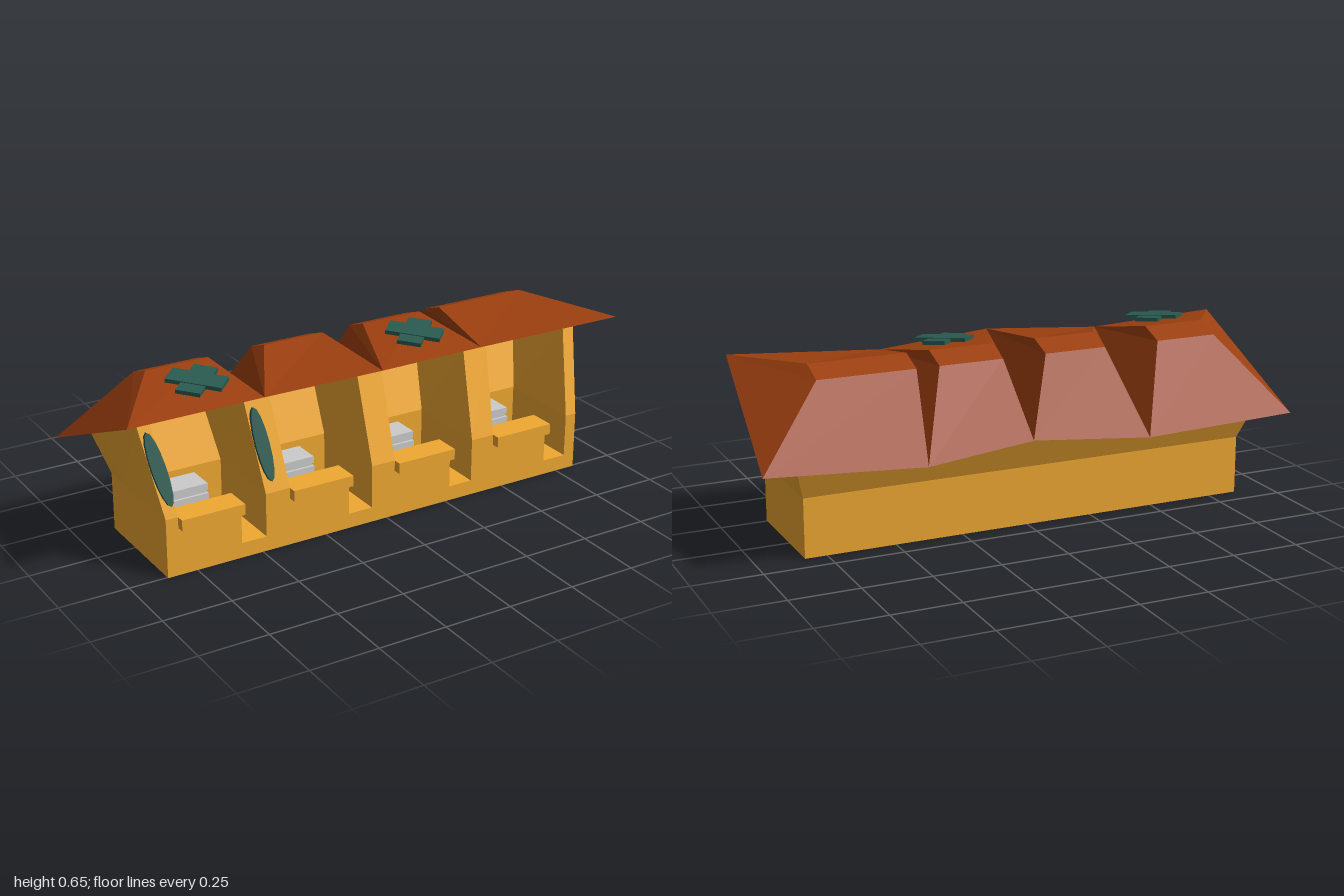
import * as THREE from 'three';

const mat = (color) => new THREE.MeshStandardMaterial({ color, flatShading: true, side: THREE.DoubleSide });

export function createModel() {
  const root = new THREE.Group();
  const wood = mat(0xf0a832), tile = mat(0x9c3f0f), green = mat(0x2a5a50), grey = mat(0xcccccc);

  const add = (name, geo, material, parent = root) => {
    const m = new THREE.Mesh(geo, material);
    m.name = name;
    parent.add(m);
    return m;
  };
  // Upright box between two corners
  const box = (name, x0, x1, y0, y1, z0, z1, material = wood) => {
    const g = new THREE.BoxGeometry(x1 - x0, y1 - y0, z1 - z0);
    g.translate((x0 + x1) / 2, (y0 + y1) / 2, (z0 + z1) / 2);
    return add(name, g, material);
  };

  // Footprint, sill height and eave plane
  const L = -0.86, R = 0.83, F = 0.255, B = -0.17, SILL = 0.215, FLOOR = 0.055, INNER = -0.074;
  const MID = (L + R) / 2;
  const eaveY = (z) => 0.605 + 0.43 * (z - 0.335);

  // Upper wall block: flares sideways, leans back and is cut by the sloping eave plane
  const upper = (name, x0, x1, z0, z1) => {
    const g = new THREE.BoxGeometry(x1 - x0, 1, z1 - z0);
    g.translate((x0 + x1) / 2, 0.5, (z0 + z1) / 2);
    const p = g.attributes.position;
    for (let i = 0; i < p.count; i++) {
      const t = p.getY(i), s = (p.getZ(i) - B) / (F - B);
      if (t < 0.5) { p.setY(i, SILL); continue; }
      const z = -0.233 + 0.39 * s;
      p.setXYZ(i, MID + (p.getX(i) - MID) * 1.053, eaveY(z), z);
    }
    g.computeVertexNormals();
    return add(name, g, wood);
  };

  // Floor and back wall
  box('floor', L, R, 0, FLOOR, B, F);
  box('backWallLower', L, R, FLOOR, SILL, B, INNER);
  upper('backWallUpper', L, R, B, INNER);

  // Four stalls, with a dividing wall before each and one at the end
  const N = 4, PITCH = 0.4235, OPEN = 0.33, FIRST = -0.815;
  for (let i = 0; i <= N; i++) {
    const x0 = i === 0 ? L : FIRST + PITCH * (i - 1) + OPEN;
    const x1 = i === N ? R : FIRST + PITCH * i;
    box('dividerLower', x0, x1, FLOOR, SILL, INNER, F);
    upper('dividerUpper', x0, x1, INNER, F);
  }
  for (let i = 0; i < N; i++) {
    const x = FIRST + PITCH * i;
    box('stallFront', x, x + 0.235, FLOOR, 0.175, 0.195, F);
    box('counter', x, x + 0.235, 0.175, SILL, 0.185, 0.285);
    // Stove against the back wall: body, hob slab and raised back
    box('stoveBody', x + 0.03, x + 0.225, FLOOR, 0.155, INNER, 0.035, grey);
    box('stoveGap', x + 0.035, x + 0.22, 0.155, 0.165, INNER, 0.025, grey);
    box('stoveTop', x + 0.03, x + 0.225, 0.165, 0.19, INNER, 0.03, grey);
  }

  // Roof: four hipped sections sharing valleys; [front x, front z, back x, back z]
  const valleys = [
    [-1, 0.3, -1, -0.31], [-0.49, 0.27, -0.4, -0.335], [-0.065, 0.325, 0.025, -0.275],
    [0.375, 0.275, 0.44, -0.33], [0.93, 0.335, 1, -0.28],
  ];
  const ridges = [[-0.785, -0.55], [-0.335, -0.1], [0.065, 0.305], [0.39, 0.75]];
  const pts = [];
  const quad = (a, b, c, d) => pts.push(...[a, b, c, a, c, d].flat());
  const eave = (x, z) => [x, eaveY(z), z];
  ridges.forEach(([xl, xr], i) => {
    const [a, b] = [valleys[i], valleys[i + 1]];
    const fl = eave(a[0], a[1]), bl = eave(a[2], a[3]), fr = eave(b[0], b[1]), br = eave(b[2], b[3]);
    const rfl = [xl, 0.635, -0.015], rfr = [xr, 0.635, -0.015];
    const rbl = [xl, 0.6, -0.108], rbr = [xr, 0.6, -0.108];
    quad(fl, fr, rfr, rfl);
    quad(rfl, rfr, rbr, rbl);
    quad(rbl, rbr, br, bl);
    quad(fl, rfl, rbl, bl);
    quad(fr, br, rbr, rfr);
    quad(fl, bl, br, fr);
  });
  const roof = new THREE.BufferGeometry();
  roof.setAttribute('position', new THREE.Float32BufferAttribute(pts, 3));
  roof.computeVertexNormals();
  add('roof', roof, tile);

  // Crossed planks lying on the first and third roof sections
  for (const x of [-0.67, 0.185]) {
    const cross = new THREE.Group();
    cross.name = 'roofCross';
    cross.position.set(x, 0.629, 0.137);
    cross.rotation.x = 0.105;
    [1, -1].forEach((s, k) => {
      const plank = add('crossPlank', new THREE.BoxGeometry(0.195, 0.014, 0.085), green, cross);
      plank.rotation.y = s * Math.PI / 4;
      plank.position.y = k * 0.003;
    });
    root.add(cross);
  }

  // Pointed boards leaning on the two left-hand pillars
  const outline = [];
  for (let i = 0; i < 16; i++) {
    const a = (i / 16) * Math.PI * 2;
    outline.push(new THREE.Vector2(0.026 * Math.cos(a), 0.131 * Math.sin(a)));
  }
  const boardGeo = new THREE.ExtrudeGeometry(new THREE.Shape(outline), { depth: 0.012, bevelEnabled: false });
  boardGeo.translate(0, 0, -0.006);
  for (const [x, tilt] of [[-0.858, 0.17], [-0.473, 0.1]]) {
    const board = add('leaningBoard', boardGeo, green);
    board.position.set(x, 0.381, 0.214);
    board.rotation.set(-0.306, 0, tilt);
  }

  return root;
}
